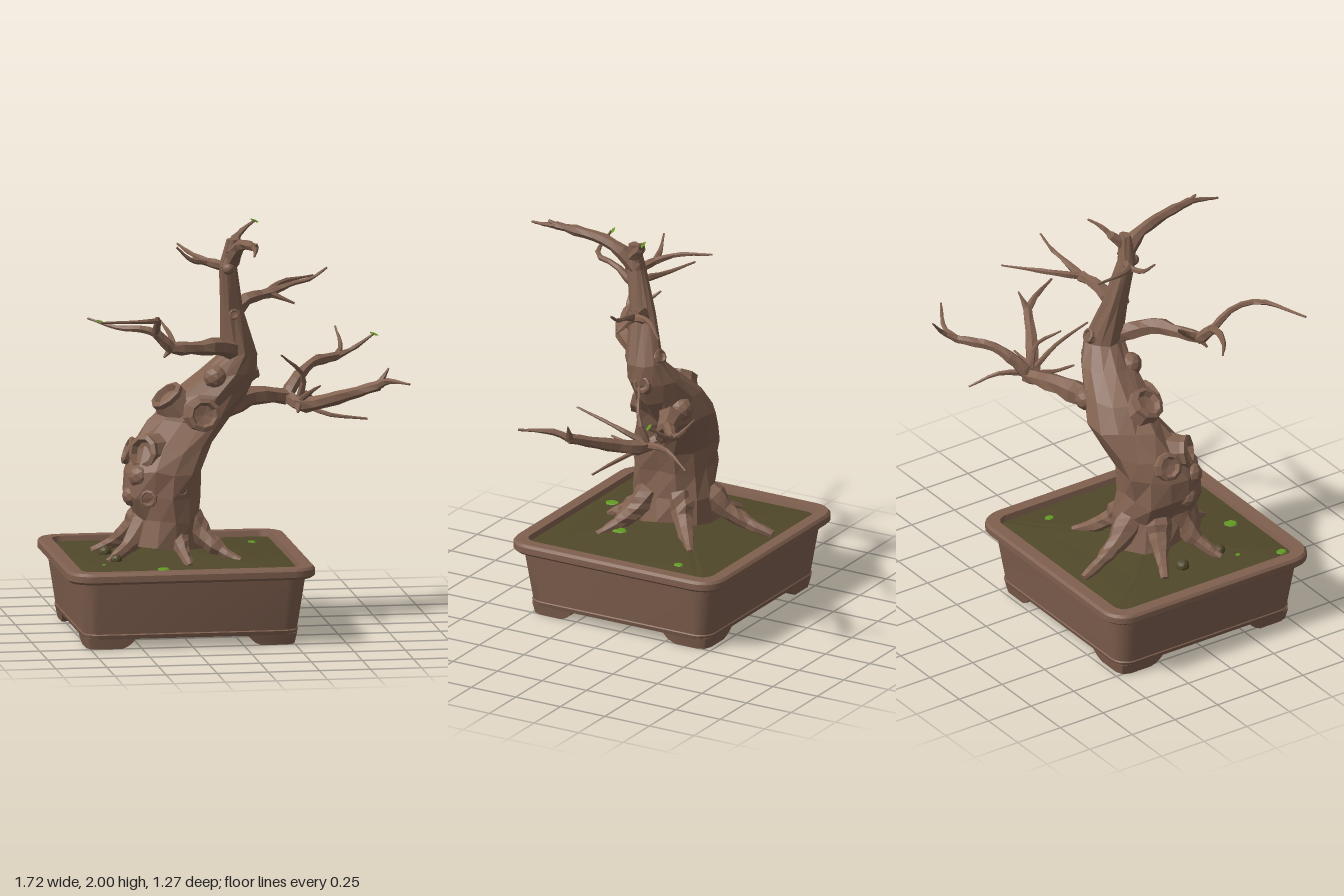
import * as THREE from 'three';
import { toCreasedNormals } from 'three/addons/utils/BufferGeometryUtils.js';

const V = (x, y, z) => new THREE.Vector3(x, y, z);
let seed = 7;
const rand = () => (seed = (seed * 16807) % 2147483647) / 2147483647;
const jitter = (amount) => 1 + (rand() * 2 - 1) * amount;

const mat = (name, color, side = THREE.FrontSide) => {
  const m = new THREE.MeshStandardMaterial({ color, side });
  m.name = name;
  return m;
};

// Skin a list of rings, each counter-clockwise seen from the end of the loft
function loft(rings, caps = true) {
  const n = rings[0].length, pos = [], idx = [];
  rings.forEach((r) => r.forEach((p) => pos.push(p.x, p.y, p.z)));
  for (let i = 0; i < rings.length - 1; i++) {
    for (let j = 0; j < n; j++) {
      const a = i * n + j, b = i * n + (j + 1) % n;
      idx.push(a, b, b + n, a, b + n, a + n);
    }
  }
  if (caps) [0, rings.length - 1].forEach((i, end) => {
    const c = rings[i].reduce((s, p) => s.add(p), V(0, 0, 0)).divideScalar(n);
    const k = pos.push(c.x, c.y, c.z) / 3 - 1;
    for (let j = 0; j < n; j++) {
      const a = i * n + j, b = i * n + (j + 1) % n;
      if (end) idx.push(a, b, k); else idx.push(b, a, k);
    }
  });
  const g = new THREE.BufferGeometry();
  g.setAttribute('position', new THREE.Float32BufferAttribute(pos, 3));
  g.setIndex(idx);
  return g;
}

const faceted = (g) => {
  const f = g.index ? g.toNonIndexed() : g;
  f.computeVertexNormals();
  return f;
};

// Rounded rectangle in the ground plane
function roundedRing(cx, cz, hx, hz, r, y, seg = 5) {
  const out = [];
  for (let k = 0; k < 4; k++) {
    const sx = k === 0 || k === 3 ? 1 : -1, sz = k < 2 ? -1 : 1;
    for (let i = 0; i <= seg; i++) {
      const a = (k + i / seg) * Math.PI / 2;
      out.push(V(cx + sx * (hx - r) + r * Math.cos(a), y, cz + sz * (hz - r) - r * Math.sin(a)));
    }
  }
  return out;
}

// Tapering, slightly knotty limb along a curve
function limb(points, r0, r1, sides = 6, rough = 0.12) {
  const curve = new THREE.CatmullRomCurve3(points.map((p) => V(...p)), false, 'centripetal');
  const steps = (points.length - 1) * 3;
  const { normals, binormals } = curve.computeFrenetFrames(steps);
  const rings = [];
  for (let i = 0; i <= steps; i++) {
    const c = curve.getPointAt(i / steps), r = THREE.MathUtils.lerp(r0, r1, Math.pow(i / steps, 0.8)) * jitter(rough);
    rings.push(Array.from({ length: sides }, (_, j) => {
      const a = j / sides * Math.PI * 2, q = r * jitter(rough);
      return c.clone().addScaledVector(normals[i], q * Math.cos(a)).addScaledVector(binormals[i], q * Math.sin(a));
    }));
  }
  return faceted(loft(rings));
}

export function createModel() {
  seed = 7;
  const group = new THREE.Group();
  const bark = mat('bark', 0x826250);
  const clay = mat('clay', 0x80604f);
  const earth = mat('soil', 0x50482a, THREE.DoubleSide);
  const green = mat('leaf', 0x629a20, THREE.DoubleSide);
  const add = (name, geo, m) => {
    const mesh = new THREE.Mesh(geo, m);
    mesh.name = name;
    group.add(mesh);
    return mesh;
  };

  // Pot: open-bottomed tray, profile as [half width, height, corner radius]
  const PX = -0.255, PZ = 0.012;
  const potRings = [[0.49, 0.05, 0.06], [0.522, 0.05, 0.08], [0.528, 0.07, 0.08], [0.524, 0.075, 0.08],
    [0.562, 0.33, 0.1], [0.592, 0.33, 0.11], [0.605, 0.342, 0.12], [0.605, 0.372, 0.12],
    [0.594, 0.385, 0.11], [0.536, 0.385, 0.06], [0.528, 0.35, 0.05], [0.49, 0.05, 0.06]]
    .map(([h, y, r]) => roundedRing(PX, PZ, h, h - 0.02, r, y));
  add('pot', toCreasedNormals(loft(potRings, false), 0.6), clay);

  // Feet: angled brackets hugging the corners, widening upward, as [height, arm length]
  for (const sx of [-1, 1]) for (const sz of [-1, 1]) {
    const foot = [[0, 0.17], [0.012, 0.2], [0.03, 0.225], [0.056, 0.25]].map(([y, arm]) => {
      const t = 0.1, c = 0.05, m = 0.015, edge = 0.51 + y * 0.2;
      const ring = [[m, m], [c, 0], [arm, 0], [arm, t], [t, t], [t, arm], [0, arm], [0, c]]
        .map(([u, v]) => V(PX + sx * (edge - u), y, PZ + sz * (edge - 0.02 - v)));
      return sx * sz > 0 ? ring.reverse() : ring;
    });
    add('potFoot', toCreasedNormals(loft(foot), 0.6), clay);
  }

  // Soil: low uneven mound
  const soilHeight = (s) => 0.358 + 0.055 * (1 - s);
  const soilRings = [1, 0.78, 0.55, 0.32, 0.12].map((s) =>
    roundedRing(PX - 0.04 * (1 - s), PZ, 0.53 * s, 0.51 * s, 0.06 * s, soilHeight(s), 3)
      .map((p) => p.setY(p.y + (rand() - 0.5) * 0.004)));
  add('soil', faceted(loft(soilRings)), earth);
  const soilAt = (x, z) => soilHeight(Math.max(Math.abs(x - PX), Math.abs(z - PZ)) / 0.52);

  // Pebbles and moss flecks as [x, z, radius]
  for (const [x, z, r] of [[-0.6, -0.01, 0.033], [-0.58, 0.22, 0.028]]) {
    add('pebble', faceted(new THREE.IcosahedronGeometry(r, 1)), earth).position.set(x, soilAt(x, z) + 0.01, z);
  }
  for (const [x, z, r] of [[0.16, -0.27, 0.022], [-0.04, 0.18, 0.034], [-0.38, 0.42, 0.032], [-0.65, 0.28, 0.013], [-0.73, 0.48, 0.024]]) {
    const moss = add('moss', new THREE.CylinderGeometry(r * 0.8, r, 0.006, 6), green);
    moss.position.set(x, soilAt(x, z) + 0.003, z);
    moss.scale.z = 1.2;
  }

  // Trunk: sections as [y, x, z, x radius, z radius]
  const sections = [[0.43, -0.31, 0.02, 0.19, 0.22], [0.56, -0.31, 0.035, 0.165, 0.215], [0.68, -0.33, 0.035, 0.185, 0.205],
    [0.8, -0.32, 0.035, 0.19, 0.2], [0.91, -0.27, -0.02, 0.195, 0.19], [1.03, -0.17, -0.075, 0.2, 0.18],
    [1.15, -0.09, -0.06, 0.185, 0.155], [1.25, 0.01, -0.04, 0.13, 0.125], [1.35, 0.06, -0.02, 0.085, 0.095],
    [1.57, 0.015, 0.015, 0.055, 0.062], [1.79, -0.01, 0.065, 0.042, 0.045], [1.92, 0.01, 0.07, 0.028, 0.026]];
  const trunkRings = sections.map(([y, x, z, rx, rz]) => Array.from({ length: 13 }, (_, j) => {
    const a = j / 13 * Math.PI * 2, q = jitter(0.08) * (1 + 0.05 * Math.cos(4 * a + y * 5));
    return V(x + rx * q * Math.cos(a), y + (rand() - 0.5) * rx * 0.15, z - rz * q * Math.sin(a));
  }));
  add('trunk', faceted(loft(trunkRings)), bark);

  // Point on the trunk at a height and an angle turning from left to front
  const onTrunk = (y, angle) => {
    const i = sections.findIndex((s) => s[0] > y), low = sections[i - 1], high = sections[i];
    const [, x, z, rx, rz] = low.map((v, k) => THREE.MathUtils.mapLinear(y, low[0], high[0], v, high[k]));
    return V(x + 0.85 * rx * Math.cos(angle), y, z + 0.85 * rz * Math.sin(angle));
  };

  // Roots: from the trunk foot down to an end [x, z] in the soil
  for (const [ex, ez] of [[-0.41, -0.46], [-0.64, -0.14], [-0.62, 0.2], [-0.24, 0.36], [0.02, 0.27], [0, -0.24]]) {
    const path = [0.56, 0.475, 0.415, 0.372].map((y, i) => {
      const t = 0.32 + 0.68 * (i / 3) ** 1.1;
      return [-0.31 + (ex + 0.31) * t, y, 0.02 + (ez - 0.02) * t];
    });
    add('root', limb(path, 0.075, 0.018, 7), bark);
  }

  // Branches: a bough, then thin twigs forking from its end
  const bough = (r0, r1, path, ...twigs) => {
    add('bough', limb(path, r0, r1), bark);
    twigs.forEach((twig) => add('twig', limb([path.at(-1), ...twig], r1 * 0.85, 0.005), bark));
  };

  // Lower left bough and its two forks
  const fork = [0.33, 1.08, -0.27];
  bough(0.065, 0.038, [[-0.02, 1.06, -0.12], [0.17, 1.1, -0.22], fork]);
  bough(0.034, 0.022, [fork, [0.38, 1.15, -0.31], [0.47, 1.22, -0.39], [0.61, 1.23, -0.5]],
    [[0.64, 1.27, -0.56], [0.625, 1.355, -0.635]], [[0.69, 1.26, -0.52], [0.79, 1.34, -0.475]]);
  bough(0.038, 0.026, [fork, [0.39, 1.05, -0.21], [0.56, 1.1, -0.1], [0.74, 1.17, 0]],
    [[0.77, 1.2, 0.06], [0.855, 1.21, 0.22]], [[0.79, 1.25, -0.02]]);
  bough(0.036, 0.022, [fork, [0.38, 1.06, -0.23]],
    [[0.44, 1.08, -0.37], [0.5, 1.02, -0.51]], [[0.52, 1.01, -0.14], [0.7, 0.99, -0.105]],
    [[0.4, 1.19, -0.19], [0.28, 1.31, -0.12]], [[0.42, 1.14, -0.06], [0.43, 1.2, 0.14]], [[0.36, 1.04, -0.1], [0.34, 1.05, 0]]);

  // Right bough reaching forward
  const bend = [-0.32, 1.43, 0.28];
  bough(0.05, 0.03, [[0.04, 1.35, 0], [-0.07, 1.41, 0.17], [-0.2, 1.42, 0.24], bend],
    [[-0.31, 1.47, 0.21], [-0.35, 1.54, 0.13]], [[-0.36, 1.39, 0.3]]);
  bough(0.03, 0.026, [bend, [-0.4, 1.51, 0.3]],
    [[-0.41, 1.595, 0.42], [-0.45, 1.61, 0.54], [-0.72, 1.625, 0.63]], [[-0.47, 1.53, 0.29], [-0.57, 1.53, 0.25], [-0.71, 1.565, 0.15]]);

  // Upper left bough
  bough(0.042, 0.026, [[0.02, 1.52, 0.01], [0.08, 1.6, -0.01], [0.21, 1.63, -0.05]],
    [[0.33, 1.67, -0.07], [0.42, 1.69, -0.08], [0.5, 1.74, -0.09]], [[0.27, 1.655, -0.16], [0.47, 1.66, -0.34]], [[0.33, 1.58, -0.02]]);

  // Small twigs near the top, then the crown
  bough(0.028, 0.022, [[-0.01, 1.78, 0.06], [-0.1, 1.8, 0.02]],
    [[-0.17, 1.83, -0.07], [-0.21, 1.85, -0.24]], [[-0.19, 1.82, 0.04], [-0.26, 1.885, 0.06]]);
  bough(0.042, 0.02, [[0, 1.8, 0.06], [0.02, 1.87, 0.13], [0.03, 1.92, 0.24], [0.055, 1.95, 0.48]],
    [[0.05, 1.94, 0.54], [0.03, 1.93, 0.63]], [[0.06, 1.97, 0.52]]);
  bough(0.036, 0.022, [[0, 1.84, 0.09], [0.04, 1.92, 0.01]], [[0.09, 1.96, -0.02], [0.14, 1.985, -0.06]]);

  // Hollow cut stubs around the trunk as [height, angle, radius, upward lean]
  const stubProfile = [[1.35, -0.5], [1.05, 0.4], [1.08, 0.7], [0.8, 0.8], [0.62, 0.45], [0, 0.35]]
    .map(([x, y]) => new THREE.Vector2(x, y));
  for (const [y, angle, r, lean] of [[1.06, 1.5, 0.078, 0.2], [0.89, 2.4, 0.078, 0.2], [1.11, 2.8, 0.08, 1.2], [0.68, 2.1, 0.042, 0],
    [0.87, 3.2, 0.065, 0.4], [1.25, -0.1, 0.04, 0.3], [1.38, -1.5, 0.035, 0.5], [1.55, 1.6, 0.024, 0.2], [0.72, 1.2, 0.035, 0.2]]) {
    const stub = add('cutStub', faceted(new THREE.LatheGeometry(stubProfile, 9)), bark);
    stub.scale.setScalar(r);
    stub.position.copy(onTrunk(y, angle));
    stub.quaternion.setFromUnitVectors(V(0, 1, 0), V(Math.cos(angle), lean, Math.sin(angle)).normalize());
  }

  // Round burls, placed the same way
  for (const [y, angle, r] of [[1.24, 2.2, 0.06], [0.68, 2.8, 0.055], [0.78, 2.5, 0.06], [1.78, 1.7, 0.03], [1.1, -0.9, 0.06]]) {
    add('burl', faceted(new THREE.IcosahedronGeometry(r, 1)), bark).position.copy(onTrunk(y, angle));
  }

  // Leaves at the twig tips
  for (const tip of [[0.14, 1.985, -0.06], [0.79, 1.34, -0.475], [-0.72, 1.63, 0.62]]) {
    const leaf = add('leaf', new THREE.CircleGeometry(0.026, 5), green);
    leaf.position.set(...tip);
    leaf.rotation.set(-1.2, 0.4, 0);
    leaf.scale.y = 0.5;
  }

  return group;
}
